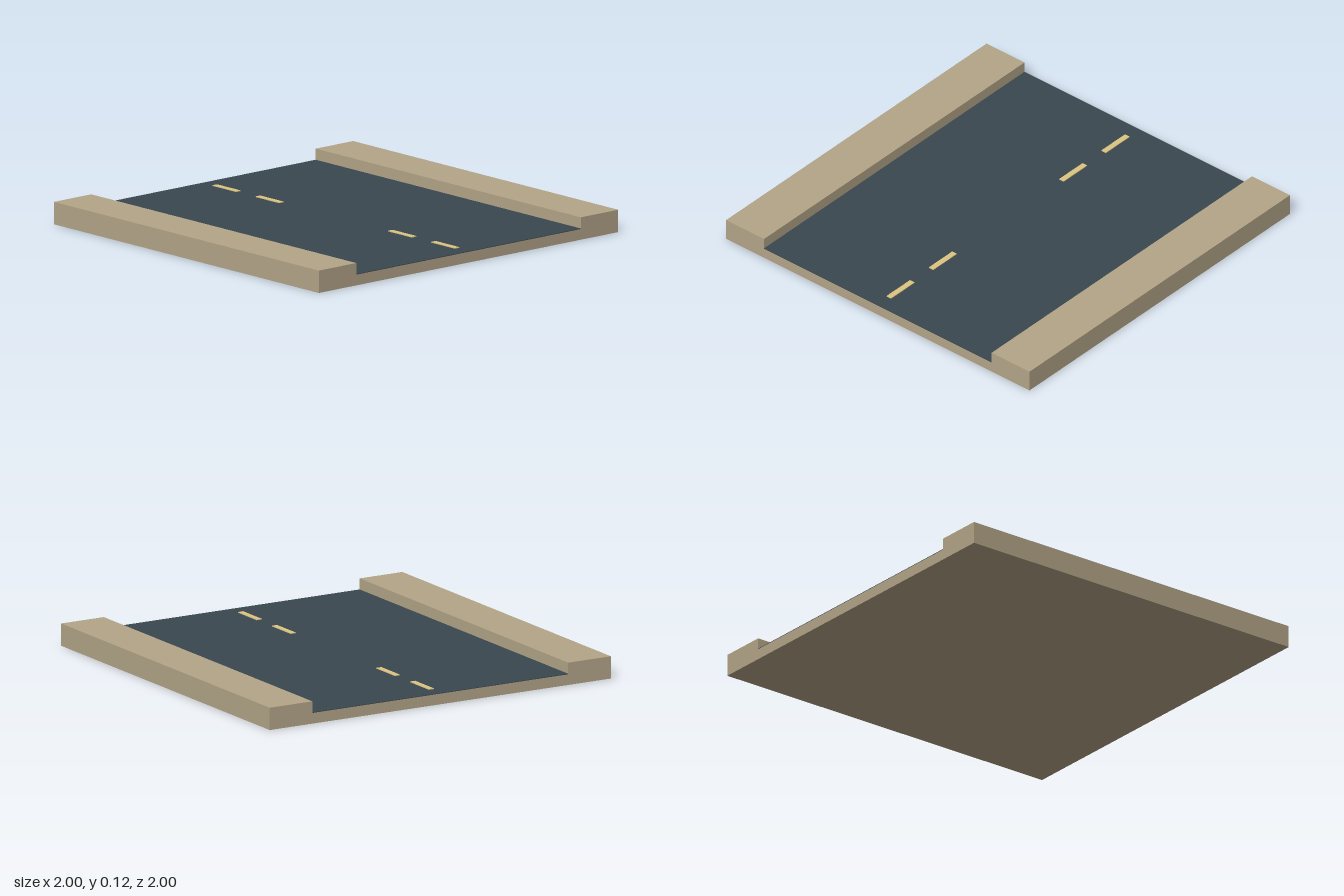
import * as THREE from 'three';

export function createModel() {
  const group = new THREE.Group();
  const stone = new THREE.MeshStandardMaterial({ color: 0xb3a588 });
  const asphalt = new THREE.MeshStandardMaterial({ color: 0x3a474f });
  const paint = new THREE.MeshStandardMaterial({ color: 0xdcc583 });

  // Box standing on height y
  const addBox = (name, material, [w, h, d], [x, y, z]) => {
    const mesh = new THREE.Mesh(new THREE.BoxGeometry(w, h, d), material);
    mesh.name = name;
    mesh.position.set(x, y + h / 2, z);
    group.add(mesh);
  };

  const baseTop = 0.055;
  const roadTop = 0.058;

  // Ground slab and road surface
  addBox('base', stone, [2, baseTop, 2], [0, 0, 0]);
  addBox('roadSurface', asphalt, [1.5, roadTop - baseTop, 2], [0, baseTop, 0]);

  // Raised pavements along both sides
  for (const side of [1, -1]) {
    addBox(side > 0 ? 'leftSidewalk' : 'rightSidewalk', stone, [0.25, 0.06, 2], [side * 0.875, baseTop, 0]);
  }

  // Centre line dashes, with a gap in the middle
  for (const z of [-0.825, -0.5, 0.5, 0.825]) {
    addBox('laneDash', paint, [0.03, 0.004, 0.18], [0, roadTop, z]);
  }

  return group;
}
